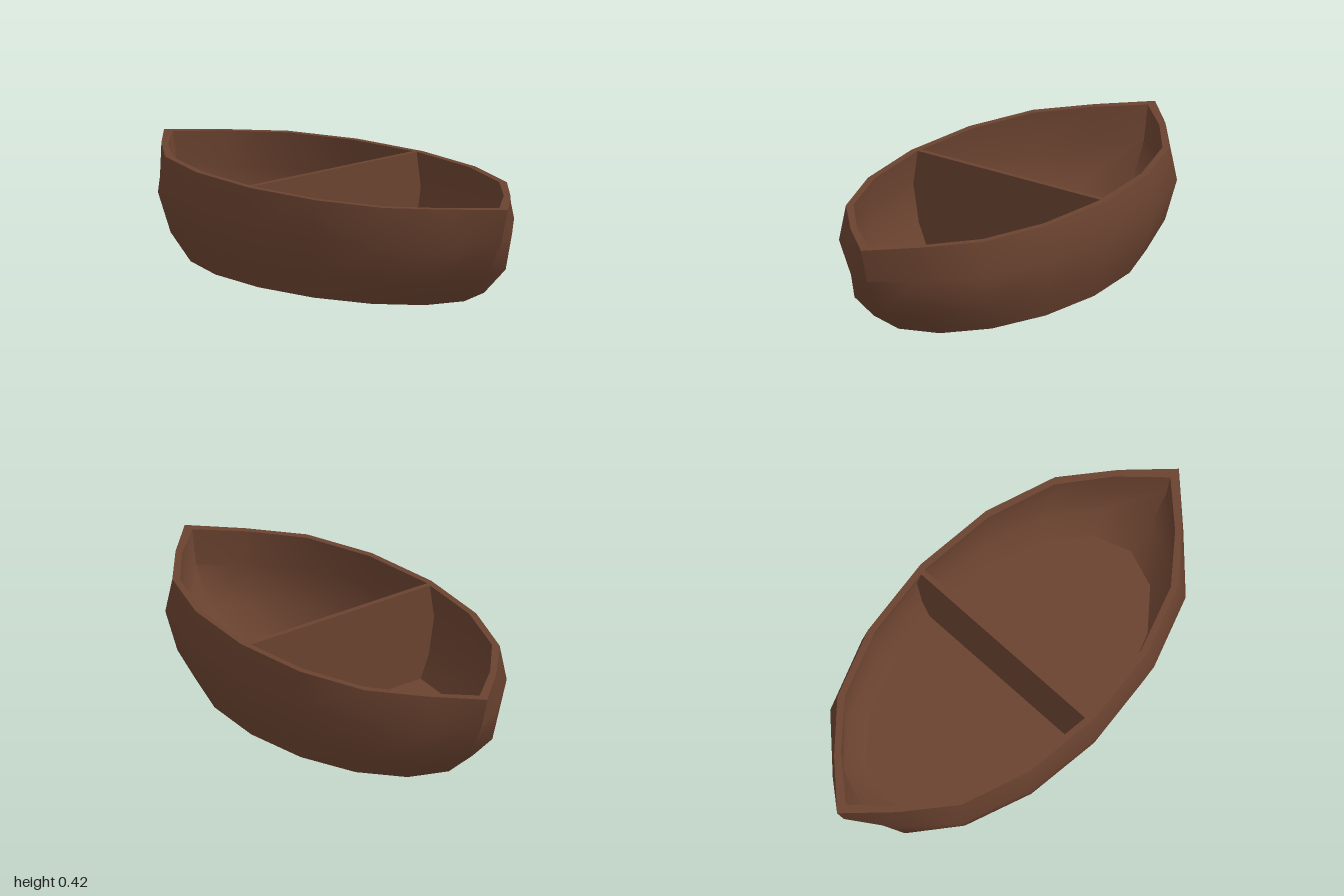
import * as THREE from 'three';
import { toCreasedNormals } from 'three/addons/utils/BufferGeometryUtils.js';

const SEG = 16;

// One horizontal 16-point ring; pinch pulls the sides in so the ends become pointed,
// narrow squeezes the points beside each tip.
function ring([y, rx, rz, pinch = 0, narrow = 1]) {
  return Array.from({ length: SEG }, (_, i) => {
    const a = (i / SEG) * Math.PI * 2;
    const tip = i % 8 === 0;
    const besideTip = i % 8 === 1 || i % 8 === 7;
    return [
      Math.sin(a) * rx * (besideTip ? narrow : 1),
      y,
      Math.cos(a) * rz * (tip ? 1 : 1 - pinch),
    ];
  });
}

// Skin between successive rings
function loft(rings) {
  const pos = rings.flatMap((r) => ring(r).flat());
  const index = [];
  for (let k = 0; k < rings.length - 1; k++) {
    for (let i = 0; i < SEG; i++) {
      const j = (i + 1) % SEG;
      const a = k * SEG + i, b = k * SEG + j;
      index.push(a, b, b + SEG, a, b + SEG, a + SEG);
    }
  }
  return finish(pos, index);
}

// Flat cap across one ring
function cap(r, up) {
  const pos = [0, r[0], 0, ...ring(r).flat()];
  const index = [];
  for (let i = 0; i < SEG; i++) {
    const a = 1 + i, b = 1 + ((i + 1) % SEG);
    index.push(0, up ? a : b, up ? b : a);
  }
  return finish(pos, index);
}

function finish(pos, index) {
  const g = new THREE.BufferGeometry();
  g.setAttribute('position', new THREE.Float32BufferAttribute(pos, 3));
  g.setIndex(index);
  return toCreasedNormals(g, 1.0);
}

export function createModel() {
  const group = new THREE.Group();
  const wood = new THREE.MeshStandardMaterial({ color: 0x6b4330 });
  const add = (name, geometry) => {
    const mesh = new THREE.Mesh(geometry, wood);
    mesh.name = name;
    group.add(mesh);
  };

  // Ring: height, half width, half length, pinch, narrowing beside the tips
  const outer = [
    [0, 0.425, 0.745],
    [0.11, 0.47, 0.87, 0.01],
    [0.27, 0.503, 0.96, 0.03, 0.8],
    [0.416, 0.477, 1, 0.1, 0.95],
  ];
  const inner = [
    [0.416, 0.45, 0.95, 0.09, 0.97],
    [0.27, 0.472, 0.925, 0.05, 0.8],
    [0.11, 0.445, 0.84, 0.01],
    [0.015, 0.405, 0.72],
  ];

  add('outerHull', loft(outer));
  add('rim', loft([outer[3], inner[0]]));
  add('innerHull', loft(inner));
  add('bottom', cap(outer[0], false));
  add('floor', cap(inner[3], true));

  // Cross partition following the inner hull section
  const side = inner.map(([y, rx]) => new THREE.Vector2(rx + 0.004, y));
  const section = new THREE.Shape([
    ...side,
    ...side.map((p) => new THREE.Vector2(-p.x, p.y)).reverse(),
  ]);
  const divider = new THREE.ExtrudeGeometry(section, { depth: 0.022, bevelEnabled: false });
  divider.translate(0, 0, -0.029);
  add('divider', divider);

  return group;
}
